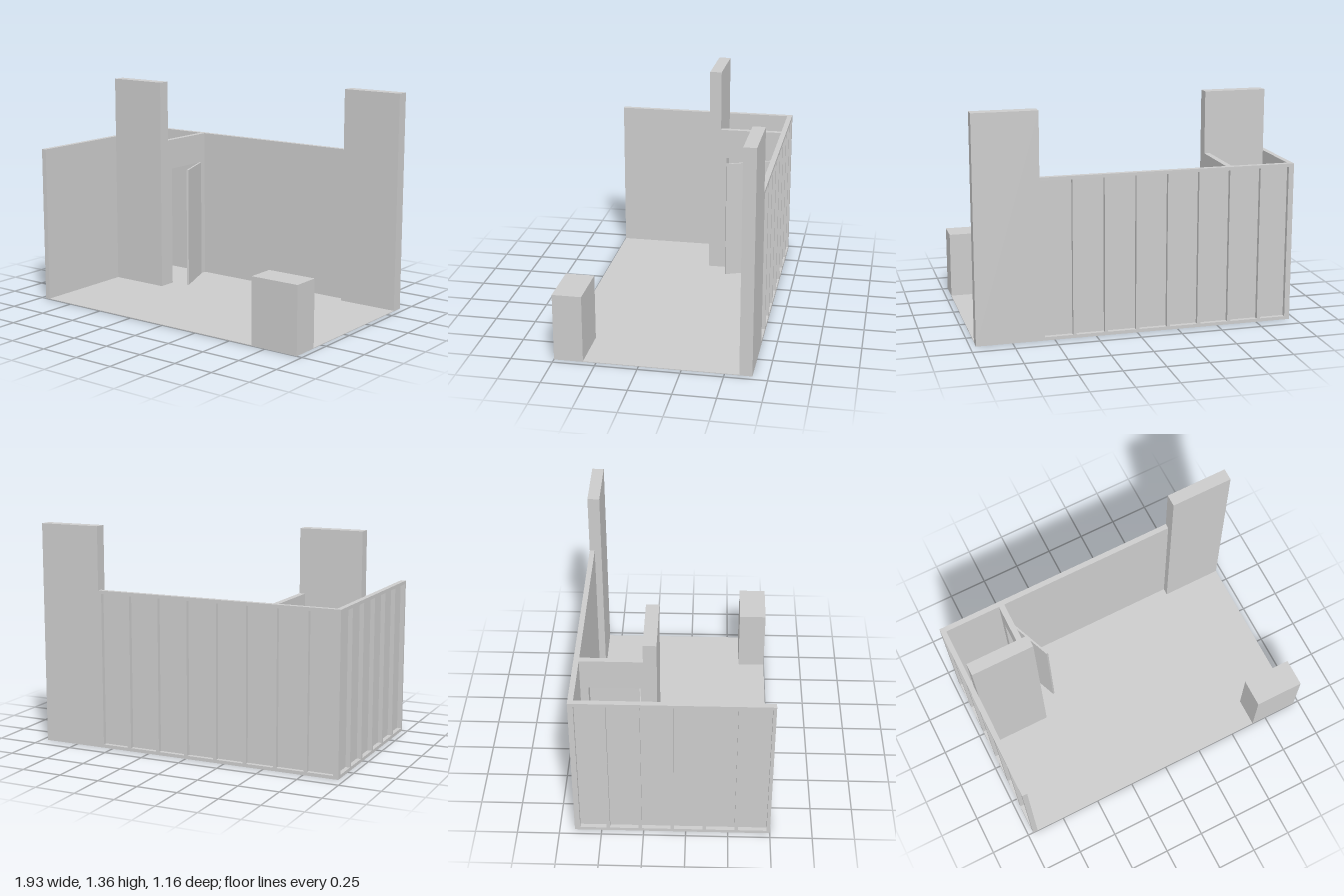
import * as THREE from 'three';

const material = new THREE.MeshStandardMaterial({ color: 0xcccccc, flatShading: true });

// Box given by its minimum and maximum corners
function box(parent, name, [x0, y0, z0], [x1, y1, z1]) {
  const mesh = new THREE.Mesh(new THREE.BoxGeometry(x1 - x0, y1 - y0, z1 - z0), material);
  mesh.position.set((x0 + x1) / 2, (y0 + y1) / 2, (z0 + z1) / 2);
  mesh.name = name;
  parent.add(mesh);
  return mesh;
}

const X = 0.965, BACK = -0.16, FRONT = 1, WALL_H = 0.972, TALL_H = 1.357;
const DEPTH = 0.032, STUD = 0.02, SKIN = 0.005, FLOOR = 0.004;

// Framed wall running along +x from the origin: inner skin at +z, open studs behind
function framedWall(name, length, bays) {
  const wall = new THREE.Group();
  wall.name = name;
  box(wall, 'skin', [0, 0, DEPTH - SKIN], [length, WALL_H, DEPTH]);
  box(wall, 'bottomRail', [0, 0, 0], [length, STUD, DEPTH - SKIN]);
  box(wall, 'topRail', [0, WALL_H - STUD, 0], [length, WALL_H, DEPTH - SKIN]);
  for (let i = 0; i <= bays; i++) {
    const x = (length - STUD) * i / bays;
    box(wall, 'stud', [x, STUD, 0], [x + STUD, WALL_H - STUD, DEPTH - SKIN]);
  }
  return wall;
}

export function createModel() {
  const model = new THREE.Group();
  model.name = 'exhibitionBooth';

  box(model, 'floor', [-X, 0, BACK], [X, FLOOR, FRONT]);

  // Back and side walls with exposed framing on the outside
  const back = framedWall('backWall', X + 0.58, 8);
  back.position.set(-X, 0, BACK);
  const side = framedWall('sideWall', FRONT - BACK, 6);
  side.rotation.y = Math.PI / 2;
  side.position.set(-X, 0, FRONT);
  model.add(back, side);

  // Tall display panels
  box(model, 'tallPanelLeft', [0.58, 0, BACK], [X, TALL_H, -0.085]);
  box(model, 'tallPanelRight', [-0.932, 0, 0.263], [-0.547, TALL_H, 0.338]);

  // Storage room partition with a door opening
  const z0 = -0.128, z1 = 0.263, d0 = -0.08, d1 = 0.225, doorH = 0.78;
  const outline = new THREE.Shape([
    [z0, 0], [d0, 0], [d0, doorH], [d1, doorH], [d1, 0], [z1, 0], [z1, WALL_H], [z0, WALL_H],
  ].map(([z, y]) => new THREE.Vector2(-z, y)));
  const partition = new THREE.Mesh(
    new THREE.ExtrudeGeometry(outline, { depth: 0.035, bevelEnabled: false }), material);
  partition.rotation.y = Math.PI / 2;
  partition.position.x = -0.582;
  partition.name = 'storagePartition';
  model.add(partition);

  // Door leaf, swung open on its rear hinge
  const door = new THREE.Group();
  door.name = 'door';
  box(door, 'doorLeaf', [-0.012, FLOOR, 0], [0, doorH, 0.308]);
  door.position.set(-0.54, 0, d0);
  door.rotation.y = Math.atan2(0.115, 0.285);
  model.add(door);

  // Reception counter
  box(model, 'counter', [0.655, 0, 0.827], [X, 0.41, FRONT]);

  return model;
}
